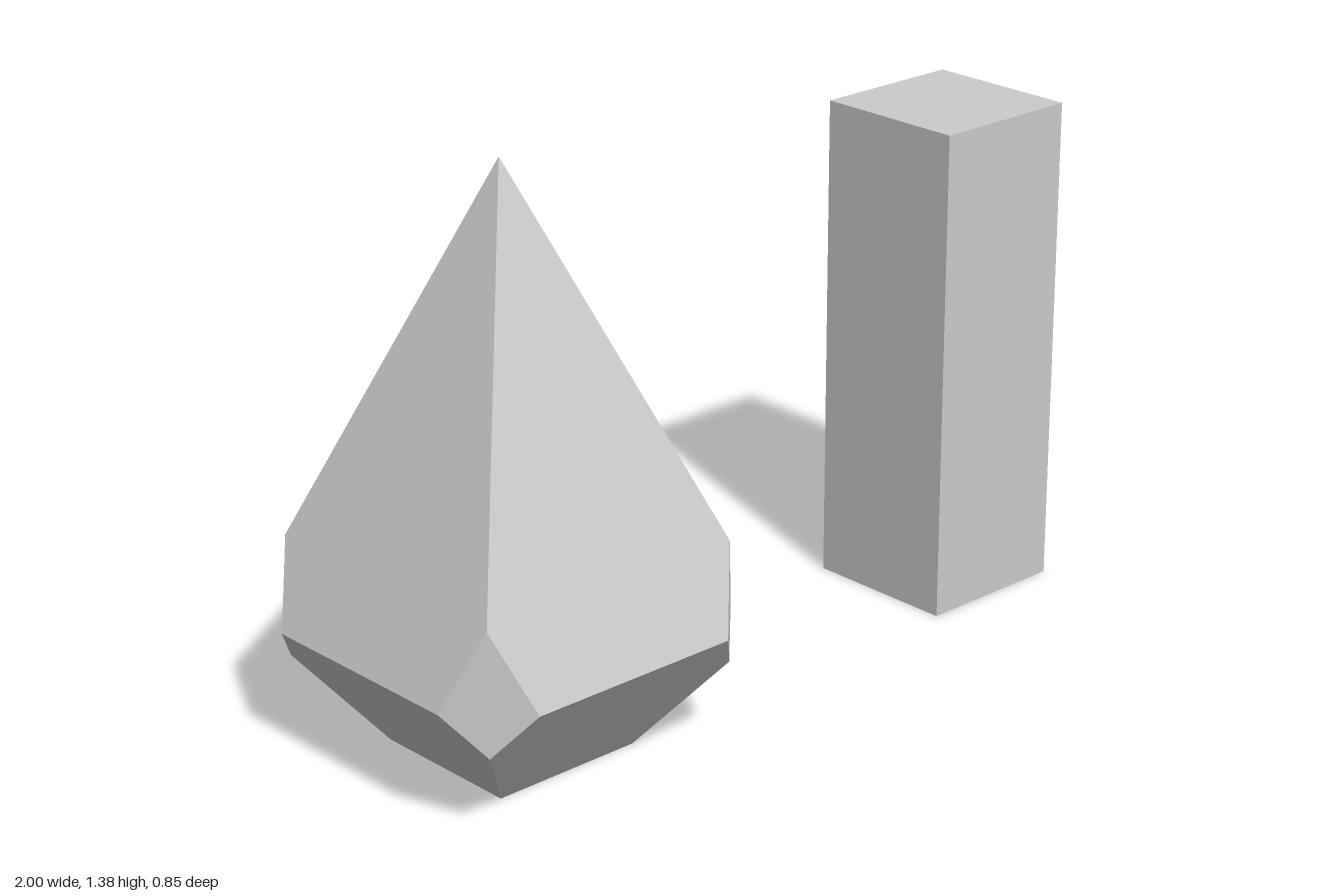
import * as THREE from 'three';
import { ConvexGeometry } from 'three/addons/geometries/ConvexGeometry.js';

const material = new THREE.MeshStandardMaterial({ color: 0xcccccc, flatShading: true });

// Faceted gem: tall four-sided point, tapered underside, clipped vertical corners
function gemGeometry() {
  const apexY = 1.38, girdleY = 0.31, girdle = 0.423, base = 0.193, clip = 0.347;
  const upperY = apexY - (clip / girdle) * (apexY - girdleY);
  const lowerY = ((clip - base) / (girdle - base)) * girdleY;
  const inner = 2 * clip - girdle;

  const points = [new THREE.Vector3(0, apexY, 0)];
  for (const sx of [-1, 1]) {
    for (const sz of [-1, 1]) {
      const add = (x, y, z) => points.push(new THREE.Vector3(sx * x, y, sz * z));
      add(base, 0, base);
      add(clip, lowerY, clip);
      add(girdle, girdleY, inner);
      add(inner, girdleY, girdle);
      add(clip, upperY, clip);
    }
  }
  return new ConvexGeometry(points);
}

export function createModel() {
  const model = new THREE.Group();
  model.name = 'gemAndPillar';

  const gem = new THREE.Mesh(gemGeometry(), material);
  gem.name = 'facetedGem';
  gem.position.x = -0.577;
  model.add(gem);

  // Plain square pillar
  const pillar = new THREE.Mesh(new THREE.BoxGeometry(0.39, 1.22, 0.39), material);
  pillar.name = 'squarePillar';
  pillar.position.set(0.805, 0.61, 0);
  model.add(pillar);

  return model;
}
